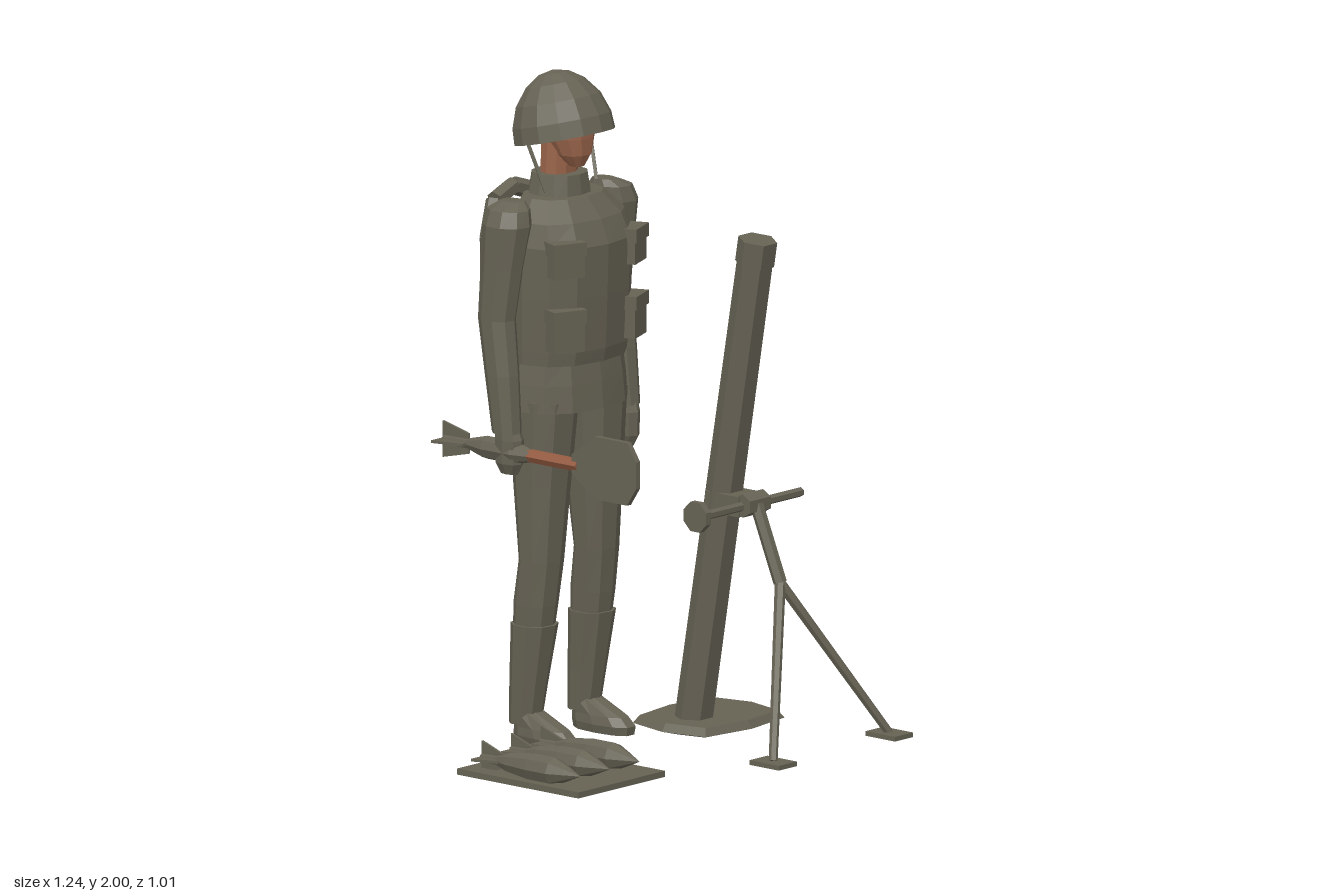
import * as THREE from 'three';

const V = (x, y, z) => new THREE.Vector3(x, y, z);
const BX = -0.034; // body centre line

export function createModel() {
  const root = new THREE.Group();
  const mat = (name, color) => {
    const m = new THREE.MeshStandardMaterial({ color });
    m.name = name;
    return m;
  };
  const olive = mat('olive drab', 0x666254);
  const skin = mat('skin', 0x9c664c);
  const wood = mat('wood', 0x965c42);

  // Faceted mesh: unshared vertices give flat normals
  function add(name, geo, m = olive, parent = root) {
    const g = geo.index ? geo.toNonIndexed() : geo;
    g.computeVertexNormals();
    const mesh = new THREE.Mesh(g, m);
    mesh.name = name;
    parent.add(mesh);
    return mesh;
  }

  // Closed skin over superellipse sections [y, cx, cz, rx, rz], lowest first
  function loft(sections, n = 12, p = 0.85) {
    const pos = [], idx = [];
    const pw = v => Math.sign(v) * Math.pow(Math.abs(v), p);
    for (const [y, cx, cz, rx, rz] of sections)
      for (let i = 0; i < n; i++) {
        const a = (i / n) * Math.PI * 2;
        pos.push(cx + rx * pw(Math.cos(a)), y, cz + rz * pw(Math.sin(a)));
      }
    const last = sections.length - 1;
    for (const s of [sections[0], sections[last]]) pos.push(s[1], s[0], s[2]);
    const c0 = n * (last + 1), c1 = c0 + 1;
    for (let i = 0; i < n; i++) {
      const j = (i + 1) % n;
      for (let k = 0; k < last; k++) {
        const a = k * n + i, b = k * n + j;
        idx.push(a, a + n, b, b, a + n, b + n);
      }
      idx.push(c0, i, j, c1, last * n + j, last * n + i);
    }
    const g = new THREE.BufferGeometry();
    g.setAttribute('position', new THREE.Float32BufferAttribute(pos, 3));
    g.setIndex(idx);
    return g;
  }
  const sideLoft = (rows, s, n, p) => loft(rows.map(([y, o, ...r]) => [y, BX + s * o, ...r]), n, p);

  function strut(name, a, b, r0, r1 = r0, n = 6, m = olive) {
    const d = b.clone().sub(a);
    const g = new THREE.CylinderGeometry(r1, r0, d.length(), n).rotateY(Math.PI / n);
    const mesh = add(name, g, m);
    mesh.position.copy(a).addScaledVector(d, 0.5);
    mesh.quaternion.setFromUnitVectors(V(0, 1, 0), d.normalize());
    return mesh;
  }
  function box(name, w, h, d, x, y, z, parent = root) {
    const mesh = add(name, new THREE.BoxGeometry(w, h, d), olive, parent);
    mesh.position.set(x, y, z);
    return mesh;
  }
  function plate(pts, depth) {
    const shape = new THREE.Shape(pts.map(p => new THREE.Vector2(...p)));
    return new THREE.ExtrudeGeometry(shape, { depth, bevelEnabled: false }).translate(0, 0, -depth / 2);
  }

  // Head, neck and helmet
  add('neck', loft([[1.64, BX, -0.285, 0.058, 0.045], [1.84, BX, -0.275, 0.058, 0.05]], 10), skin);
  add('face', loft([
    [1.725, BX, -0.212, 0.022, 0.02], [1.76, BX, -0.225, 0.05, 0.05],
    [1.81, BX, -0.24, 0.068, 0.07], [1.88, BX, -0.245, 0.075, 0.075],
  ], 10), skin);
  const dome = [[0, 0.05], [0.125, 0.03], [0.15, 0], [0.147, 0.05], [0.126, 0.11], [0.087, 0.16], [0.045, 0.188], [0, 0.198]];
  const helmet = add('helmet', new THREE.LatheGeometry(dome.map(p => new THREE.Vector2(...p)), 14));
  helmet.position.set(BX, 1.803, -0.26);
  helmet.rotation.x = -0.24;
  for (const s of [-1, 1])
    strut('chinStrap', V(BX + s * 0.137, 1.82, -0.29), V(BX + s * 0.11, 1.66, -0.235), 0.007, 0.007, 4);

  // Torso: jacket skirt, vest and collar
  add('jacketSkirt', loft([
    [1.02, BX, -0.265, 0.206, 0.155], [1.1, BX, -0.263, 0.2, 0.146], [1.18, BX, -0.262, 0.19, 0.134],
  ]));
  add('vest', loft([
    [1.16, BX, -0.255, 0.195, 0.145], [1.2, BX, -0.252, 0.197, 0.15], [1.36, BX, -0.245, 0.203, 0.15],
    [1.51, BX, -0.242, 0.205, 0.152], [1.58, BX, -0.25, 0.19, 0.13], [1.64, BX, -0.268, 0.135, 0.095],
  ]));
  add('collar', loft([[1.6, BX, -0.28, 0.1, 0.09], [1.7, BX, -0.28, 0.08, 0.078]]));

  // Ammunition pouches with flaps
  for (const s of [-1, 1])
    for (const [y, h] of [[1.48, 0.1], [1.27, 0.12]]) {
      const pouch = new THREE.Group();
      pouch.name = 'chestPouch';
      pouch.position.set(BX + s * 0.14, y, -0.14);
      pouch.rotation.y = s * 0.38;
      box('pouchBody', 0.098, h, 0.08, 0, 0, 0, pouch);
      box('pouchFlap', 0.106, 0.04, 0.09, 0, h / 2 - 0.015, 0, pouch);
      root.add(pouch);
    }
  const hip = box('hipPouch', 0.09, 0.1, 0.06, BX - 0.13, 1.1, -0.385);
  hip.rotation.y = 0.45;

  // Backpack with arched bedroll
  const arch = [[-0.115, 1.25], [0.115, 1.25], [0.135, 1.3], [0.13, 1.5], [0.08, 1.58], [-0.08, 1.58], [-0.13, 1.5], [-0.135, 1.3]];
  const pack = add('backpack', plate(arch, 0.06));
  pack.position.set(BX, 0, -0.42);
  const packBack = add('packFace', plate(arch.map(([x, y]) => [x * 0.88, 1.41 + (y - 1.41) * 0.9]), 0.04));
  packBack.position.set(BX, 0, -0.465);
  const rollPath = [[-0.13, 1.34, -0.43], [-0.135, 1.5, -0.435], [-0.085, 1.6, -0.455], [0, 1.628, -0.462],
    [0.085, 1.6, -0.455], [0.135, 1.5, -0.435], [0.13, 1.34, -0.43]].map(p => V(p[0] + BX, p[1], p[2]));
  for (let i = 0; i < rollPath.length - 1; i++) strut('bedroll', rollPath[i], rollPath[i + 1], 0.027);

  // Limbs, mirrored about the centre line
  for (const s of [-1, 1]) {
    add('arm', sideLoft([
      [0.97, 0.258, -0.255, 0.041, 0.046], [1.14, 0.256, -0.275, 0.046, 0.055], [1.3, 0.25, -0.3, 0.05, 0.06],
      [1.45, 0.242, -0.288, 0.056, 0.068], [1.58, 0.232, -0.277, 0.067, 0.077], [1.625, 0.222, -0.28, 0.058, 0.068],
      [1.645, 0.2, -0.283, 0.03, 0.04],
    ], s, 9, 1));
    add('hand', sideLoft([
      [0.848, 0.252, -0.25, 0.018, 0.03], [0.88, 0.253, -0.25, 0.031, 0.046],
      [0.95, 0.253, -0.25, 0.033, 0.048], [1.0, 0.256, -0.255, 0.027, 0.035],
    ], s, 8, 0.9));
    add('trouserLeg', sideLoft([
      [0.33, 0.125, -0.272, 0.056, 0.058], [0.44, 0.124, -0.262, 0.063, 0.065], [0.57, 0.12, -0.245, 0.068, 0.062],
      [0.8, 0.113, -0.248, 0.082, 0.083], [1.05, 0.105, -0.247, 0.095, 0.104],
    ], s, 9, 0.9));
    add('gaiter', sideLoft([
      [0.08, 0.127, -0.3, 0.045, 0.048], [0.2, 0.127, -0.287, 0.053, 0.057], [0.38, 0.125, -0.266, 0.067, 0.069],
    ], s, 9, 0.9));
    add('boot', sideLoft([
      [0.025, 0.127, -0.222, 0.044, 0.108], [0.05, 0.127, -0.222, 0.05, 0.112],
      [0.075, 0.127, -0.235, 0.046, 0.098], [0.12, 0.127, -0.297, 0.04, 0.045],
    ], s, 10, 0.85));
  }

  // Crossed tail fins, tail at y = 0 and pointing down
  function fins(parent, wide, narrow, len) {
    for (const r of [0, Math.PI / 2])
      add('fin', plate([[-wide, 0], [wide, 0], [narrow, len], [-narrow, len]], 0.008).rotateY(r), olive, parent);
  }
  function finnedBody(name, profile, x, y, z, finSize) {
    const g = new THREE.Group();
    g.name = name;
    add('body', new THREE.LatheGeometry(profile.map(p => new THREE.Vector2(...p)), 8), olive, g);
    fins(g, ...finSize);
    g.position.set(x, y, z);
    g.rotation.x = Math.PI / 2;
    root.add(g);
  }

  // Spade held in the right hand
  const sx = -0.285, sy = 0.912;
  finnedBody('spadeGrip', [[0, 0.005], [0.014, 0.005], [0.016, 0.1], [0.034, 0.17], [0.034, 0.28], [0.016, 0.35], [0, 0.35]],
    sx, sy, -0.507, [0.054, 0.03, 0.1]);
  strut('spadeShaft', V(sx, sy, -0.2), V(sx, sy, 0.02), 0.02, 0.02, 6, wood);
  const bladePts = [[0.25, 0.04], [0.215, 0.093], [0.09, 0.093], [0, 0.028], [0, -0.028], [0.09, -0.093], [0.215, -0.093], [0.25, -0.04]];
  const blade = add('spadeBlade', plate(bladePts.reverse(), 0.018));
  blade.rotation.y = -Math.PI / 2;
  blade.position.set(sx - 0.004, sy + 0.005, 0);

  // Tray with three finned shells
  box('shellTray', 0.378, 0.018, 0.47, -0.433, 0.034, 0.08);
  for (const x of [-0.562, -0.434, -0.304])
    finnedBody('shell', [[0, 0], [0.013, 0], [0.015, 0.06], [0.03, 0.11], [0.042, 0.2], [0.042, 0.28], [0.022, 0.33], [0, 0.38]],
      x, 0.073, -0.11, [0.05, 0.022, 0.08]);

  // Launch tube, muzzle collar and base plate
  const low = V(0.34, 0.03, -0.095), top = V(0.34, 1.497, 0.155);
  strut('launchTube', low, top, 0.056, 0.053);
  strut('muzzleCollar', low.clone().lerp(top, 0.95), top, 0.058);
  add('basePlate', loft([
    [0, 0.405, -0.095, 0.13, 0.1], [0.02, 0.407, -0.095, 0.204, 0.168], [0.043, 0.407, -0.095, 0.187, 0.152],
  ], 8, 0.5));

  // Bipod: clamp, crossbar, wheel, column, legs and feet
  box('clampCollar', 0.1, 0.06, 0.13, 0.34, 0.705, 0.06);
  strut('clampPivot', V(0.295, 0.71, 0.135), V(0.385, 0.71, 0.135), 0.035);
  strut('crossbar', V(0.125, 0.707, 0.13), V(0.555, 0.707, 0.13), 0.014);
  strut('handwheel', V(0.094, 0.71, 0.13), V(0.115, 0.71, 0.13), 0.047, 0.047, 8);
  const fork = V(0.342, 0.49, 0.24);
  strut('bipodColumn', V(0.34, 0.71, 0.15), fork, 0.02);
  for (const x of [0.077, 0.583]) {
    strut('bipodLeg', fork, V(x, 0.035, 0.448), 0.016, 0.013);
    box('bipodFoot', 0.078, 0.014, 0.114, x, 0.031, 0.448);
  }
  return root;
}
